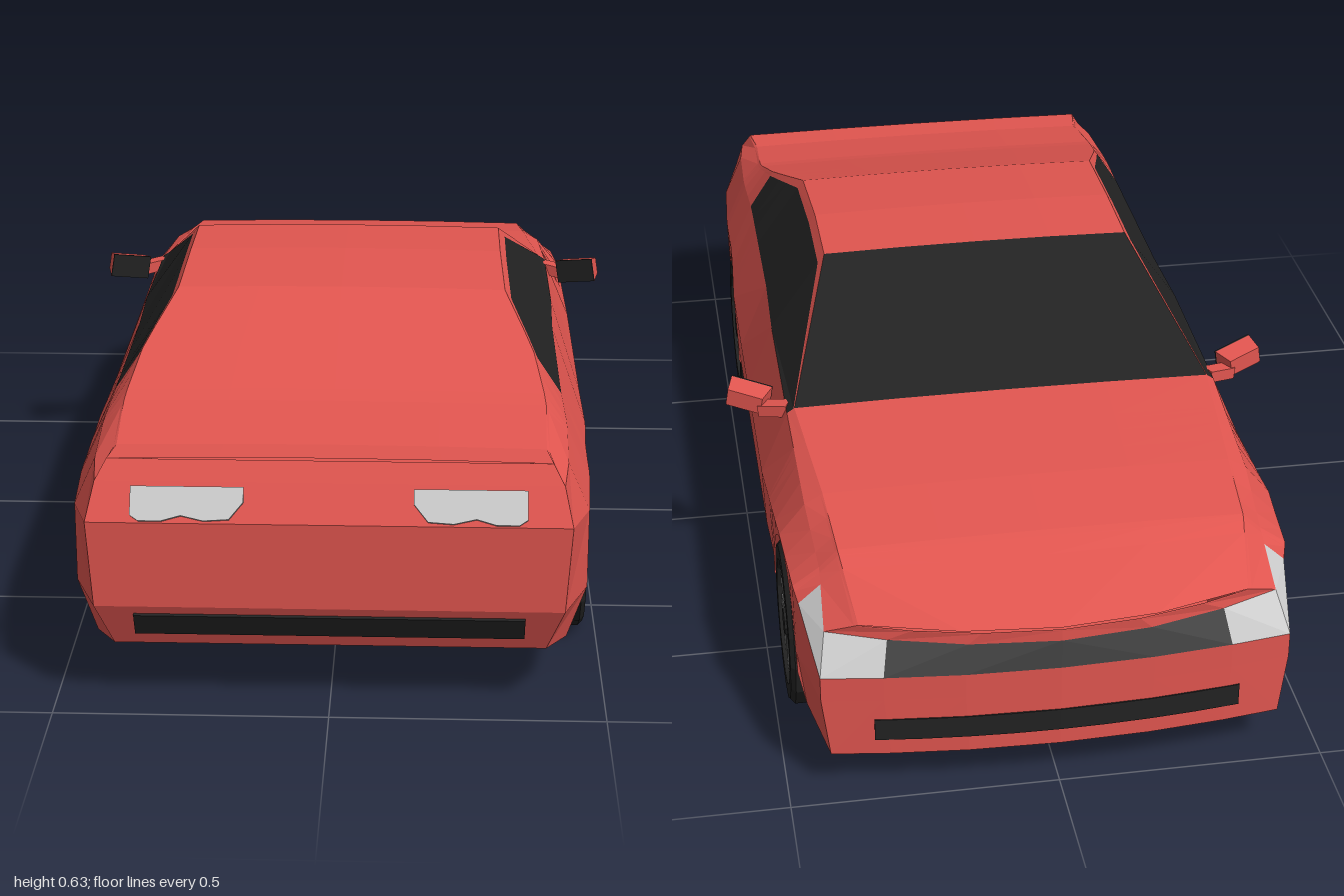
import * as THREE from 'three';

const mat = (color) => new THREE.MeshStandardMaterial({ color, flatShading: true, side: THREE.DoubleSide });
const lerp = THREE.MathUtils.lerp;
const WHEELS_Z = [0.56, -0.64], AXLE_Y = 0.165, ARCH_R = 0.168;

// Body stations: z, floorY, sillX, midX, shoulderX, shoulderY, beltX, beltY, topX, topY
const KEYS = [
  [0.95, 0.12, 0.39, 0.42, 0.43, 0.375, 0.415, 0.44, 0.395, 0.475],
  [0.87, 0.11, 0.43, 0.465, 0.465, 0.36, 0.425, 0.45, 0.385, 0.475],
  [0.7, 0.1, 0.45, 0.47, 0.475, 0.36, 0.43, 0.46, 0.39, 0.505],
  [0.55, 0.09, 0.45, 0.475, 0.475, 0.36, 0.425, 0.47, 0.37, 0.555],
  [0.37, 0.09, 0.45, 0.48, 0.485, 0.34, 0.425, 0.47, 0.32, 0.615],
  [0.16, 0.09, 0.45, 0.48, 0.485, 0.33, 0.425, 0.47, 0.315, 0.632],
  [-0.02, 0.09, 0.45, 0.48, 0.485, 0.33, 0.43, 0.47, 0.315, 0.63],
  [-0.36, 0.09, 0.45, 0.48, 0.485, 0.33, 0.43, 0.46, 0.415, 0.47],
  [-0.64, 0.09, 0.45, 0.47, 0.475, 0.36, 0.425, 0.425, 0.39, 0.445],
  [-0.8, 0.09, 0.45, 0.465, 0.465, 0.35, 0.415, 0.385, 0.38, 0.42],
  [-0.965, 0.09, 0.42, 0.435, 0.435, 0.26, 0.42, 0.32, 0.36, 0.345],
];

function keyAt(z) {
  let i = 0;
  while (i < KEYS.length - 2 && z < KEYS[i + 1][0]) i++;
  const t = (KEYS[i][0] - z) / (KEYS[i][0] - KEYS[i + 1][0]);
  return KEYS[i].map((v, k) => lerp(v, KEYS[i + 1][k], t));
}

// Rounded plan of the nose; the lamp level is swept back further at the corners
function noseZ(x, y, z) {
  const t = Math.max(0, (-z - 0.8) / 0.165);
  const sweep = y > 0.28 ? 0.1 : 0.035;
  return z - t * (0.035 - sweep * (x / 0.43) ** 2);
}

function tailZ(y) {
  const p = [[0.12, 0.945], [0.18, 0.975], [0.23, 0.995], [0.38, 0.995], [0.475, 0.94]];
  let i = 0;
  while (i < 3 && y > p[i + 1][0]) i++;
  return lerp(p[i][1], p[i + 1][1], (y - p[i][0]) / (p[i + 1][0] - p[i][0]));
}

// Half section from the floor centre, out round the side, to the roof centre
function section({ z, arch }) {
  const [, floor, sillX, midX, shX, shY, beltX, beltY, topX, topY] = keyAt(z);
  const lip = arch ?? floor, a = arch ?? 0;
  const pts = [
    [0, floor], [0.375, floor], [0.375, lip], [arch ? midX : sillX, lip],
    [midX, Math.max(0.21, a + 0.015)], [shX, Math.max(shY, a + 0.03)], [beltX, beltY],
    [lerp(beltX, topX, 0.88), lerp(beltY, topY, 0.88)],
    [topX, topY], [topX * 0.5, topY + 0.003], [0, topY + 0.004],
  ];
  const tail = z > 0.94;
  return pts.map(([x, y]) => [x, y, tail ? tailZ(y) : noseZ(x, y, z)]);
}

function buildBody(group, mats) {
  const faces = { bodyShell: [], windows: [], upperGrille: [], headlights: [] };
  const flip = ([x, y, z]) => [-x, y, z];
  const quad = (part, a, b, c, d) => {
    faces[part].push(...a, ...b, ...c, ...a, ...c, ...d);
    [a, b, c, d] = [a, b, c, d].map(flip);
    faces[part].push(...a, ...c, ...b, ...a, ...d, ...c);
  };

  // Stations, with extra ones following the wheel arches
  const stations = [...KEYS.map((k) => k[0]), -0.84]
    .filter((z) => WHEELS_Z.every((w) => Math.abs(z - w) > ARCH_R + 0.004))
    .map((z) => ({ z }));
  for (const w of WHEELS_Z) {
    for (const s of [-1, 1]) stations.push({ z: w + s * (ARCH_R + 0.002) });
    for (let i = 0; i <= 8; i++) {
      const a = (i * Math.PI) / 8;
      stations.push({ z: w + ARCH_R * Math.cos(a), arch: AXLE_Y + ARCH_R * Math.sin(a) });
    }
  }
  stations.sort((a, b) => b.z - a.z);
  const rings = stations.map(section);

  for (let i = 0; i < rings.length - 1; i++) {
    const z = (stations[i].z + stations[i + 1].z) / 2;
    for (let j = 0; j < 10; j++) {
      let part = 'bodyShell';
      if (j === 6 && z < 0.56 && z > -0.36) part = 'windows';
      if (j >= 8 && z < -0.02 && z > -0.36) part = 'windows';
      if (j === 5 && z < -0.84) part = 'headlights';
      quad(part, rings[i][j], rings[i + 1][j], rings[i + 1][j + 1], rings[i][j + 1]);
    }
  }

  // Tail and nose panels
  const cols = [0, 0.4, 0.74, 1];
  const cap = (ring, nose) => {
    const at = (j, c) => {
      const [x, y, z] = ring[j];
      return [x * c, y, nose ? noseZ(x * c, y, -0.965) : z];
    };
    for (let j = 3; j < 8; j++) {
      for (let c = 0; c < 3; c++) {
        const q = [at(j, cols[c]), at(j, cols[c + 1]), at(j + 1, cols[c + 1]), at(j + 1, cols[c])];
        const part = nose && j === 5 ? (c === 2 ? 'headlights' : 'upperGrille') : 'bodyShell';
        quad(part, ...(nose ? q.reverse() : q));
      }
    }
  };
  cap(rings[0], false);
  cap(rings[rings.length - 1], true);

  for (const [name, pos] of Object.entries(faces)) {
    const geo = new THREE.BufferGeometry();
    geo.setAttribute('position', new THREE.Float32BufferAttribute(pos, 3));
    geo.computeVertexNormals();
    const mesh = new THREE.Mesh(geo, mats[name]);
    mesh.name = name;
    group.add(mesh);
  }
}

// Wheel with its outer face towards +x
function buildWheel(mats) {
  const wheel = new THREE.Group();
  const add = (name, geo, m, x = 0) => {
    const mesh = new THREE.Mesh(geo, m);
    mesh.name = name;
    mesh.position.x = x;
    wheel.add(mesh);
  };
  const profile = [[0, -0.042], [0.145, -0.042], [0.16, -0.034], [0.16, 0.034], [0.15, 0.043], [0.122, 0.043], [0.118, 0.028], [0, 0.028]];
  add('tyre', new THREE.LatheGeometry(profile.map((p) => new THREE.Vector2(...p)), 16).rotateZ(-Math.PI / 2), mats.black);
  add('hub', new THREE.CylinderGeometry(0.026, 0.03, 0.012, 10).rotateZ(-Math.PI / 2), mats.black, 0.036);
  const blade = new THREE.Shape([[-0.008, 0.036], [0.008, 0.036], [0.021, 0.114], [-0.021, 0.114]].map((p) => new THREE.Vector2(...p)));
  for (let i = 0; i < 10; i++) {
    const geo = new THREE.ExtrudeGeometry(blade, { depth: 0.01, bevelEnabled: false });
    add('spoke', geo.rotateY(Math.PI / 2).rotateX((i * Math.PI) / 5), mats.rim, 0.026);
  }
  return wheel;
}

export function createModel() {
  const car = new THREE.Group();
  car.name = 'car';
  const red = mat(0xe0554f), black = mat(0x222222), lamp = mat(0xcccccc), rim = mat(0x666666);
  const mats = { bodyShell: red, windows: black, upperGrille: mat(0x444444), headlights: lamp, black, rim };
  buildBody(car, mats);

  const add = (name, geo, m, pos, rot = [0, 0, 0], parent = car) => {
    const mesh = new THREE.Mesh(geo, m);
    mesh.name = name;
    mesh.position.set(...pos);
    mesh.rotation.set(...rot);
    parent.add(mesh);
  };

  // Lower front intake, bent to the bumper
  const intake = new THREE.BoxGeometry(0.68, 0.045, 0.012, 8);
  const p = intake.attributes.position;
  for (let i = 0; i < p.count; i++) p.setZ(i, p.getZ(i) + noseZ(p.getX(i), 0.1, -0.965));
  add('frontIntake', intake, black, [0, 0.145, 0.004]);

  // Rear vent
  add('rearVent', new THREE.BoxGeometry(0.7, 0.05, 0.012), black, [0, 0.171, 0.968], [0.45, 0, 0]);

  // Tail lamp outline with a wavy lower edge
  const lens = new THREE.Shape([[-0.1, 0.032], [0.1, 0.032], [0.1, -0.02], [0.085, -0.03], [0.045, -0.03], [0.01, -0.02], [-0.03, -0.029], [-0.075, -0.026], [-0.1, 0.005]].map((q) => new THREE.Vector2(...q)));

  for (const s of [1, -1]) {
    const side = new THREE.Group();
    side.name = s > 0 ? 'leftSide' : 'rightSide';
    side.scale.x = s;
    car.add(side);

    for (const z of WHEELS_Z) {
      const wheel = buildWheel(mats);
      wheel.name = z > 0 ? 'rearWheel' : 'frontWheel';
      wheel.position.set(0.432, 0.163, z);
      side.add(wheel);
    }

    add('tailLight', new THREE.ExtrudeGeometry(lens, { depth: 0.01, bevelEnabled: false }), lamp, [0.25, 0.403, 0.978], [-0.53, 0, 0], side);

    // Door mirror
    const mirror = new THREE.Group();
    mirror.name = 'doorMirror';
    mirror.position.set(0.502, 0.462, -0.288);
    mirror.rotation.set(0, -0.4, 0.17);
    side.add(mirror);
    const shell = new THREE.BoxGeometry(0.085, 0.05, 0.04);
    const v = shell.attributes.position;
    for (let i = 0; i < v.count; i++) if (v.getZ(i) < 0) v.setXY(i, v.getX(i) * 0.85, v.getY(i) * 0.7);
    add('mirrorShell', shell, red, [0, 0, 0], [0, 0, 0], mirror);
    add('mirrorGlass', new THREE.BoxGeometry(0.085, 0.05, 0.004), black, [0, 0, 0.022], [0, 0, 0], mirror);
    add('mirrorStalk', new THREE.BoxGeometry(0.06, 0.024, 0.03), red, [-0.06, -0.003, -0.008], [0, 0, -0.3], mirror);
  }
  return car;
}
